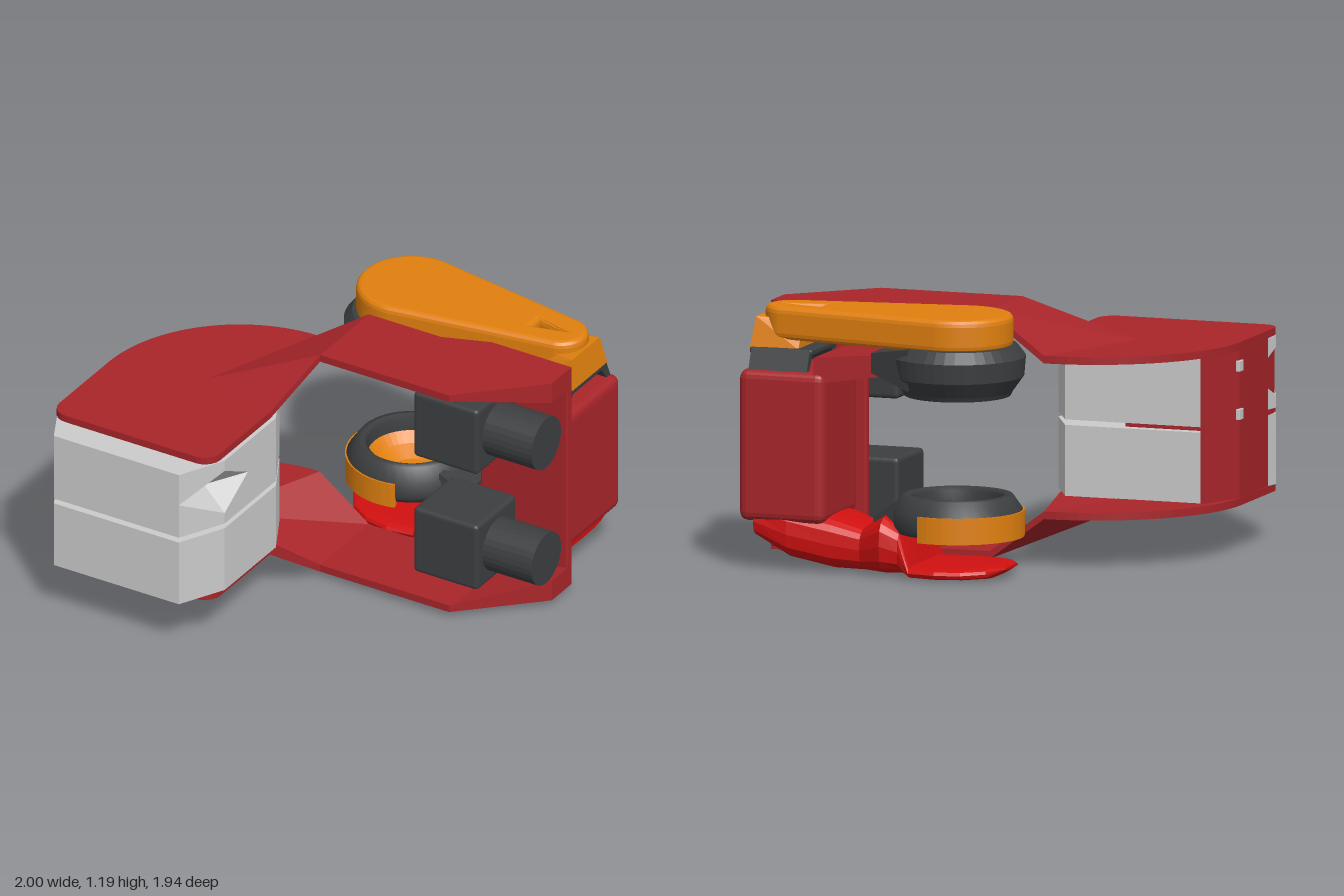
import * as THREE from 'three';
import { ConvexGeometry } from 'three/addons/geometries/ConvexGeometry.js';
import { RoundedBoxGeometry } from 'three/addons/geometries/RoundedBoxGeometry.js';

const mat = (color, flatShading = true) =>
  new THREE.MeshStandardMaterial({ color, flatShading, side: THREE.DoubleSide });
const GREY = mat(0xcccccc), RED = mat(0xa8252a), SCARLET = mat(0xd01010);
const ORANGE = mat(0xe0800f), DARK = mat(0x3c3e40), DARK_ROUND = mat(0x3c3e40, false);
const MID = 0.595; // height of the frame's mirror plane
const HUB = -0.665; // z of the joint axis
const COL = -0.64; // z of the column's centre
const P = Math.PI;

export function createModel() {
  const model = new THREE.Group();

  const add = (name, geometry, material, x = 0, y = 0, z = 0) => {
    const mesh = new THREE.Mesh(geometry, material);
    mesh.name = name;
    mesh.position.set(x, y, z);
    model.add(mesh);
    return mesh;
  };
  const box = (name, material, x0, x1, y0, y1, z0, z1, r = 0.01) =>
    add(name, new RoundedBoxGeometry(x1 - x0, y1 - y0, z1 - z0, 2, r), material,
      (x0 + x1) / 2, (y0 + y1) / 2, (z0 + z1) / 2);
  const hull = (pts) => new ConvexGeometry(pts.map((p) => new THREE.Vector3(...p)));

  // Prism standing on a plan outline of [x, z] points
  const planShape = (pts) => new THREE.Shape(pts.map(([x, z]) => new THREE.Vector2(x, -z)));
  const prism = (shape, depth, opts = {}) =>
    new THREE.ExtrudeGeometry(shape, { depth, bevelEnabled: false, curveSegments: 24, ...opts })
      .rotateX(-P / 2);

  // Skin over equal-length rings of [x, y, z], closed at both ends
  const loft = (rings) => {
    const n = rings[0].length, pos = rings.flat(2), idx = [];
    for (let i = 0; i < rings.length - 1; i++)
      for (let j = 0; j < n; j++) {
        const a = i * n + j, b = i * n + (j + 1) % n;
        idx.push(a, b, b + n, a, b + n, a + n);
      }
    [[rings[0], 0], [rings.at(-1), (rings.length - 1) * n]].forEach(([ring, base], end) => {
      const c = pos.length / 3;
      for (let k = 0; k < 3; k++) pos.push(ring.reduce((s, p) => s + p[k], 0) / n);
      for (let j = 0; j < n; j++) {
        const a = base + j, b = base + (j + 1) % n;
        idx.push(c, ...(end ? [a, b] : [b, a]));
      }
    });
    const g = new THREE.BufferGeometry();
    g.setAttribute('position', new THREE.Float32BufferAttribute(pos, 3));
    g.setIndex(idx);
    const flat = g.toNonIndexed();
    flat.computeVertexNormals();
    return flat;
  };

  const arc = (cx, cz, r, from, to, steps) => Array.from({ length: steps + 1 }, (_, i) => {
    const a = from + (to - from) * i / steps;
    return [cx + r * Math.cos(a), cz + r * Math.sin(a)];
  });

  // Frame plates: low end, folded ramps, and raised end
  const plates = [
    [...arc(-0.3, 0.33, 0.69, P, 1.5 * P, 20), [-0.53, 0.22], [-0.14, 0.33],
      ...arc(-0.22, 0.755, 0.08, 0, P / 2, 5), ...arc(-0.91, 0.755, 0.08, P / 2, P, 5)],
    [[-0.53, 0.22], [-0.04, 0.06], [-0.14, 0.33]],
    [[-0.3, -0.36], [-0.04, -0.36], [-0.53, 0.22]],
    [[-0.53, 0.22], [-0.04, -0.36], [-0.04, 0.06]],
    [[-0.04, -0.36], [0.34, -0.36], [0.56, -0.44], [0.98, -0.44], [0.98, -0.27], [0.64, 0.06], [-0.04, 0.06]],
  ];
  for (const [side, base, rise] of [['upper', 0.932, 0.195], ['lower', 0.223, -0.195]]) {
    for (const pts of plates) {
      const g = prism(planShape(pts), 0.035), p = g.attributes.position;
      for (let i = 0; i < p.count; i++) if (p.getX(i) > -0.1) p.setY(i, p.getY(i) + rise);
      g.computeVertexNormals();
      add(side + 'FramePlate', g, RED, 0, base, 0);
    }
    // Gussets between plate and column
    const flip = ([x, y, z]) => [x, side === 'upper' ? y : 2 * MID - y, z];
    add(side + 'Gusset', hull([
      [0.64, 1.13, 0.06], [0.64, 1.13, -0.42], [0.98, 1.06, -0.27], [0.98, 1.06, -0.42],
      [0.98, 1.14, -0.27], [0.98, 1.14, -0.42],
    ].map(flip)), RED);
    add(side + 'CornerGusset', hull([
      [0.36, 1.14, -0.37], [0.53, 0.98, -0.41], [0.53, 1.14, -0.37],
      [0.36, 1.14, -0.36], [0.53, 0.98, -0.44], [0.53, 1.14, -0.43],
    ].map(flip)), RED);
  }

  // Column at the closed end of the frame
  box('columnWall', RED, 0.52, 0.98, 0.04, 1.15, -0.445, -0.405);
  box('columnBlock', RED, 0.57, 0.98, 0.22, 0.91, -0.87, -0.41, 0.04);

  // Eight-sided grey blocks, the upper one with a diamond pit at two corners
  const blockRing = (y, inset = 0, tipY = y) => [
    [-0.12, y, 0.55], [-0.12, y, 0.31], [-0.23, y, 0.1], [-0.88, y, 0.1], [-0.97, y, 0.31],
    [-0.97, y, 0.55], [-0.998 + inset, tipY, 0.75], [-0.89, y, 0.965], [-0.23, y, 0.965],
    [-0.12 - inset, tipY, 0.75],
  ];
  add('lowerBlock', loft([blockRing(0.257), blockRing(0.58)]), GREY);
  add('upperBlock', loft([blockRing(0.605), blockRing(0.775, 0, 0.66), blockRing(0.775, 0.11),
    blockRing(0.775, 0, 0.88), blockRing(0.933)]), GREY);

  // Red side wall wrapping the blocks, with a web between them
  add('sideWall', prism(planShape([[-0.988, 0.76], [-0.988, 0.31], [-0.9, 0.1], [-0.88, 0.1],
    [-0.968, 0.31], [-0.968, 0.76]]), 0.69), RED, 0, 0.25, 0);
  add('blockWeb', prism(planShape([[-0.97, 0.82], [-0.97, 0.3], [-0.9, 0.15], [-0.5, 0.15],
    [-0.68, 0.27], [-0.93, 0.4], [-0.93, 0.82]]), 0.035), RED, 0, 0.575, 0);
  for (const y of [0.64, 0.86])
    box('wallStud', GREY, -0.998, -0.96, y - 0.025, y + 0.025, 0.29, 0.34, 0.003);

  // Motors with round end housings
  for (const y of [0.897, 2 * MID - 0.897]) {
    box('motorBox', DARK, 0.4, 0.74, y - 0.168, y + 0.168, -0.36, -0.02, 0.02);
    add('motorCan', new THREE.CylinderGeometry(0.127, 0.127, 0.27, 28).rotateZ(P / 2),
      DARK, 0.865, y, -0.19);
  }

  // Orange teardrop cover with a small triangular slot
  const cover = new THREE.Shape();
  cover.absarc(0, 0, 0.225, 1.46, 2 * P - 1.46, false);
  cover.absarc(0.79, 0, 0.1, -1.3, 1.3, false);
  cover.holes.push(new THREE.Path([[0.635, 0.06], [0.635, -0.06], [0.86, 0]]
    .map(([x, y]) => new THREE.Vector2(x, y))));
  add('jointCover', prism(cover, 0.09, {
    bevelEnabled: true, bevelSize: 0.025, bevelThickness: 0.03, bevelSegments: 3,
  }), ORANGE, 0, 1.07, HUB + 0.005);
  add('coverBracket', hull([[0.8, 1.13, 0.09], [0.93, 1.14, 0.12], [0.9, 1.08, 0.08],
    [0.95, 1.0, 0.15], [0.72, 1.0, 0.14], [0.72, 1.08, 0.1]]
    .flatMap(([x, y, z]) => [[x, y, z], [x, y, -z]])), ORANGE, 0, 0, COL - 0.005);

  // Hollow hubs
  const lathe = (name, pts, material, y) => add(name,
    new THREE.LatheGeometry(pts.map(([r, h]) => new THREE.Vector2(r, h)), 40), material, 0, y, HUB);
  lathe('upperHub', [[0, 0.12], [0.19, 0.1], [0.19, 0.01], [0.2, 0], [0.24, 0], [0.25, 0.02], [0.3, 0.09],
    [0.308, 0.18], [0.27, 0.23], [0, 0.24]], DARK, 0.82);
  lathe('lowerHub', [[0.21, 0], [0.28, 0], [0.295, 0.03], [0.295, 0.1], [0.25, 0.165], [0.22, 0.17],
    [0.2, 0.15], [0.2, 0.04], [0.21, 0]], DARK_ROUND, 0.2);
  lathe('lowerHubLiner', [[0.205, 0.1], [0.16, 0.05], [0.09, 0.01], [0, 0]], ORANGE, 0.2);
  const band = new THREE.Shape();
  band.absarc(0, 0, 0.302, 1.28, 2 * P - 1.28, false);
  band.absarc(0, 0, 0.27, 2 * P - 1.28, 1.28, true);
  add('lowerHubBand', prism(band, 0.12), ORANGE, 0, 0.18, HUB);

  // Arms joining the hubs to the column
  const armRing = (x, y0, y1, w) => [[x, y1, HUB - w], [x, y1, HUB + w], [x, y0, HUB + w], [x, y0, HUB - w]];
  add('upperArm', loft([armRing(0.15, 0.86, 1.05, 0.25), armRing(0.36, 0.92, 1.01, 0.15)]), DARK);
  add('upperArmBridge', loft([armRing(0.33, 0.9, 1.0, 0.14), armRing(0.62, 0.86, 0.98, 0.19)]), RED);
  add('lowerArm', loft([armRing(0.24, 0.2, 0.34, 0.16), armRing(0.36, 0.18, 0.26, 0.12)]), DARK);

  // Clamp over the column: a thin top and two splayed legs
  box('clampTop', DARK, 0.65, 0.95, 0.975, 1.005, COL - 0.16, COL + 0.16);
  for (const s of [-1, 1])
    add('clampLeg', hull([0.66, 0.94].flatMap((x) => [[x, 1.0, 0.1], [x, 1.0, 0.16],
      [x, 0.87, 0.215], [x, 0.88, 0.19]].map(([px, y, w]) => [px, y, COL + s * w]))), DARK);

  // Scarlet foot: thin dish, raised neck, then a cradle rising to the column
  const footRing = ([x, cy, hy, hz, cz = HUB]) => Array.from({ length: 20 }, (_, i) => {
    const a = i / 20 * 2 * P, f = (v) => Math.sign(v) * Math.abs(v) ** 0.6;
    return [x, cy + hy * f(Math.cos(a)), cz + hz * f(Math.sin(a))];
  });
  add('foot', loft([
    [-0.26, 0.05, 0.006, 0.08], [-0.2, 0.036, 0.028, 0.18], [-0.1, 0.032, 0.03, 0.24],
    [0.02, 0.03, 0.03, 0.26], [0.15, 0.03, 0.03, 0.24], [0.21, 0.12, 0.11, 0.22],
    [0.29, 0.145, 0.14, 0.24], [0.41, 0.11, 0.1, 0.17], [0.55, 0.13, 0.12, 0.21, COL],
    [0.75, 0.17, 0.12, 0.23, COL], [0.91, 0.22, 0.08, 0.22, COL],
  ].map(footRing)), SCARLET);

  return model;
}
